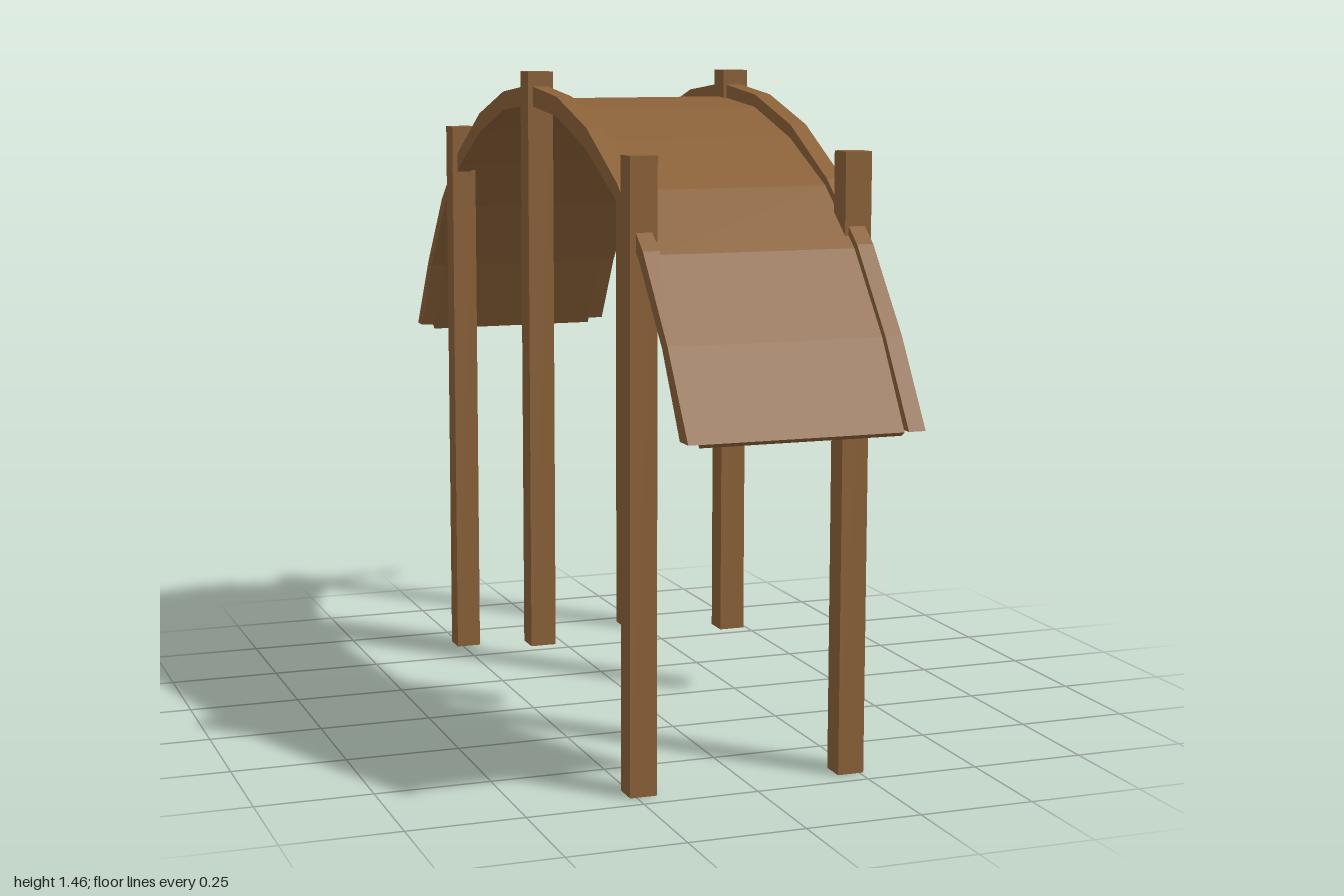
import * as THREE from 'three';

const wood = new THREE.MeshStandardMaterial({ color: 0x8b6239, flatShading: true });

// Half-arch profiles as [z, y], from the crown down to the end
const railTop = [[0, 1.43], [0.2, 1.41], [0.4, 1.352], [0.595, 1.248], [0.747, 1.125], [0.886, 0.955], [1, 0.78]];
const railBottom = [[0, 1.386], [0.197, 1.368], [0.394, 1.309], [0.577, 1.219], [0.722, 1.107], [0.857, 0.946], [0.955, 0.78]];
const deckTop = [[0, 1.4], [0.198, 1.383], [0.398, 1.324], [0.587, 1.234], [0.735, 1.116], [0.872, 0.951], [0.98, 0.776]];
const deckBottom = [[0, 1.386], [0.196, 1.369], [0.392, 1.311], [0.578, 1.222], [0.724, 1.106], [0.859, 0.943], [0.966, 0.767]];

// Mirror a half profile about z = 0
const fullArc = (half) => [...half.slice(1).reverse().map(([z, y]) => [-z, y]), ...half];

// Extrude an arched band across x from x0 to x1
function arch(name, top, bottom, x0, x1) {
  const outline = [...fullArc(top), ...fullArc(bottom).reverse()];
  const shape = new THREE.Shape(outline.map(([z, y]) => new THREE.Vector2(-z, y)));
  const geometry = new THREE.ExtrudeGeometry(shape, { depth: x1 - x0, bevelEnabled: false });
  geometry.rotateY(Math.PI / 2).translate(x0, 0, 0);
  const mesh = new THREE.Mesh(geometry, wood);
  mesh.name = name;
  return mesh;
}

function post(name, x, z, y0, y1) {
  const mesh = new THREE.Mesh(new THREE.BoxGeometry(0.058, y1 - y0, 0.056), wood);
  mesh.position.set(x, (y0 + y1) / 2, z);
  mesh.name = name;
  return mesh;
}

export function createModel() {
  const model = new THREE.Group();
  model.name = 'archedBridge';

  // Curved walkway between two side rails
  model.add(arch('deck', deckTop, deckBottom, -0.217, 0.209));
  model.add(arch('rightRail', railTop, railBottom, -0.252, -0.217));
  model.add(arch('leftRail', railTop, railBottom, 0.209, 0.245));

  // Posts: the middle pair sits higher, the back pair is slightly staggered
  for (const [side, x, backZ] of [['right', -0.235, -0.627], ['left', 0.23, -0.684]]) {
    model.add(post(side + 'FrontPost', x, 0.678, 0, 1.31));
    model.add(post(side + 'MiddlePost', x, 0.003, 0.155, 1.46));
    model.add(post(side + 'BackPost', x, backZ, 0, 1.312));
  }
  return model;
}
